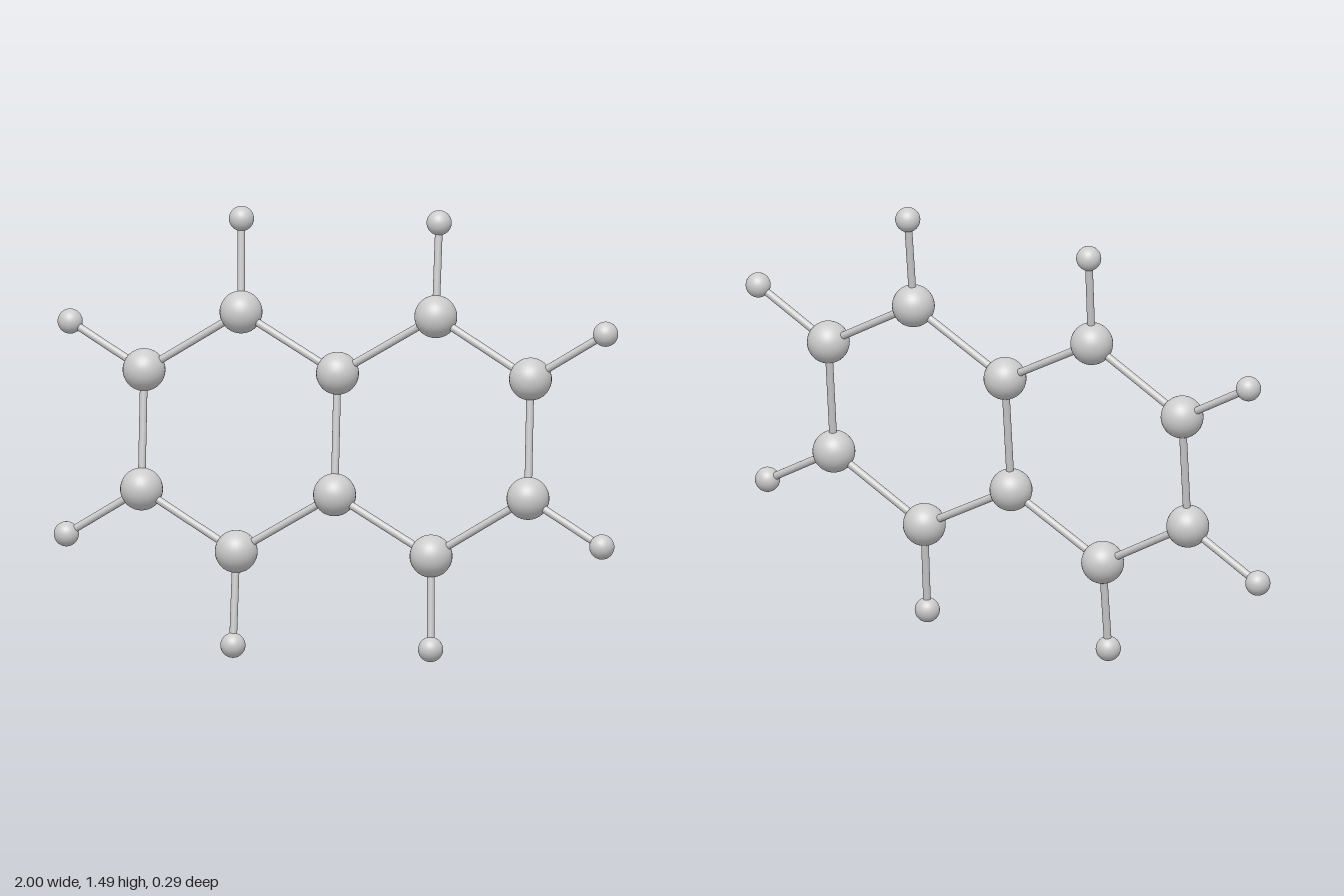
import * as THREE from 'three';

const CENTRE_Y = 0.744;
const LARGE_R = 0.07, SMALL_R = 0.041, ROD_R = 0.0125;

// One half of the flat double ring, relative to its centre: ring atom and its outer atom
const HALF = [
  { ring: [-0.359, 0.372], outer: [-0.376, 0.673] },
  { ring: [-0.689, 0.165], outer: [-0.959, 0.305] },
  { ring: [-0.674, -0.220], outer: [-0.930, -0.381] },
  { ring: [-0.328, -0.400], outer: [-0.321, -0.703] },
  { ring: [0.007, -0.196] }, // shared atom in the middle
];

export function createModel() {
  const model = new THREE.Group();
  model.name = 'molecule';
  const material = new THREE.MeshStandardMaterial({ color: 0xcccccc });
  const largeSphere = new THREE.SphereGeometry(LARGE_R, 32, 24);
  const smallSphere = new THREE.SphereGeometry(SMALL_R, 32, 24);
  const up = new THREE.Vector3(0, 1, 0);

  // Places a flat point on the slightly leaning plane; sign -1 gives the opposite half
  const place = ([x, y], sign) =>
    new THREE.Vector3(sign * x, CENTRE_Y + sign * y, sign * (0.0074 * x - 0.151 * y));

  const addAtom = (name, geometry, position) => {
    const atom = new THREE.Mesh(geometry, material);
    atom.name = name;
    atom.position.copy(position);
    model.add(atom);
  };

  const addBond = (name, a, b) => {
    const direction = b.clone().sub(a);
    const bond = new THREE.Mesh(
      new THREE.CylinderGeometry(ROD_R, ROD_R, direction.length(), 20), material);
    bond.name = name;
    bond.position.copy(a).add(b).multiplyScalar(0.5);
    bond.quaternion.setFromUnitVectors(up, direction.normalize());
    model.add(bond);
  };

  // Atoms, outer bonds and the open chain of each half
  const chains = [1, -1].map((sign) => {
    const chain = HALF.map(({ ring }) => place(ring, sign));
    HALF.forEach(({ outer }, i) => {
      addAtom('ringAtom', largeSphere, chain[i]);
      if (i > 0) addBond('ringBond', chain[i - 1], chain[i]);
      if (outer) {
        const end = place(outer, sign);
        addAtom('outerAtom', smallSphere, end);
        addBond('outerBond', chain[i], end);
      }
    });
    return chain;
  });

  // Bonds that close the two rings, and the one they share
  const [left, right] = chains;
  addBond('ringBond', left[0], right[4]);
  addBond('ringBond', right[0], left[4]);
  addBond('sharedBond', left[4], right[4]);

  return model;
}
